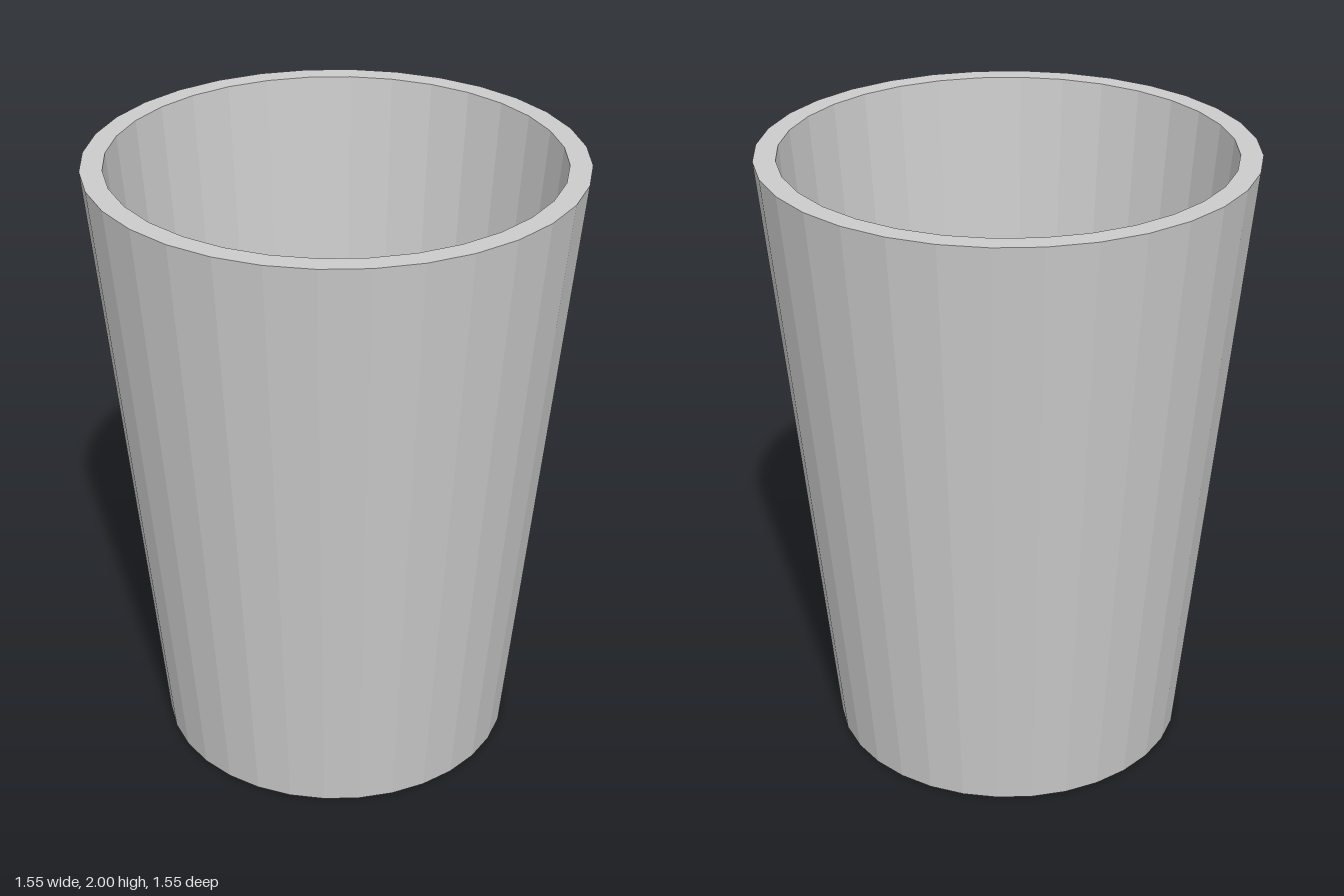
import * as THREE from 'three';

const SIDES = 32;

export function createModel() {
  const group = new THREE.Group();
  group.name = 'cup';
  const material = new THREE.MeshStandardMaterial({ color: 0xcccccc, flatShading: true });

  // closed wall profile: underside, outer wall, flat rim, inner wall, inner floor
  const profile = [
    [0, 0],
    [0.575, 0],
    [0.773, 2],
    [0.704, 2],
    [0.535, 0.06],
    [0, 0.06],
  ].map(([r, y]) => new THREE.Vector2(r, y));

  const body = new THREE.Mesh(new THREE.LatheGeometry(profile, SIDES), material);
  body.name = 'cupBody';
  group.add(body);
  return group;
}
